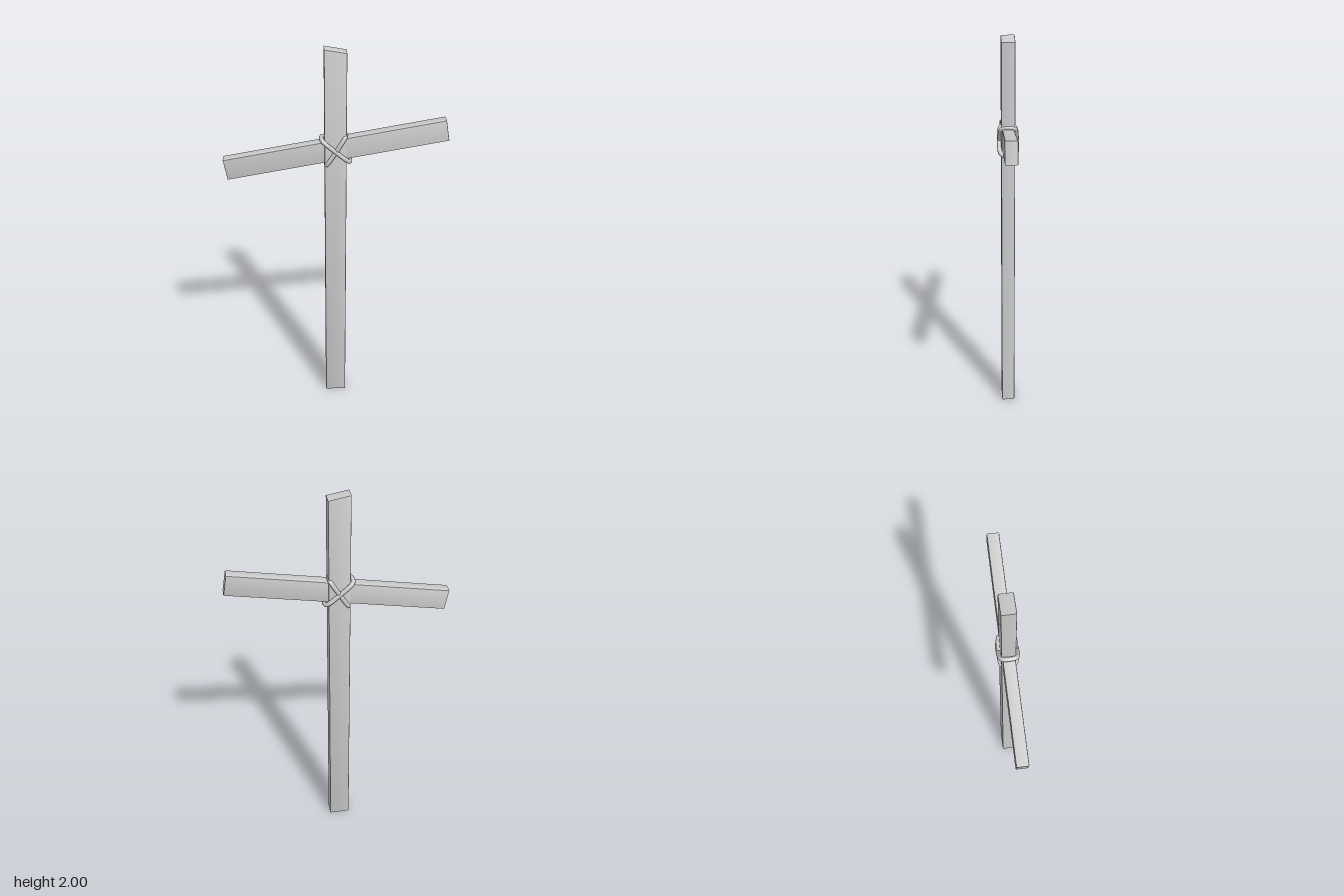
import * as THREE from 'three';
import { toCreasedNormals } from 'three/addons/utils/BufferGeometryUtils.js';

const BEVEL = 0.005;

// Plank: a front outline given depth, with softly bevelled edges
function plank(name, corners, depth, material) {
  const shape = new THREE.Shape(corners.map(([x, y]) => new THREE.Vector2(x, y)));
  const geometry = new THREE.ExtrudeGeometry(shape, {
    depth: depth - 2 * BEVEL,
    bevelThickness: BEVEL,
    bevelSize: BEVEL,
    bevelOffset: -BEVEL,
    bevelSegments: 2,
  });
  geometry.translate(0, 0, BEVEL - depth / 2);
  const mesh = new THREE.Mesh(toCreasedNormals(geometry, 0.7), material);
  mesh.name = name;
  return mesh;
}

// Rope: a closed rounded loop, long along the diagonal, wrapped around the joint
function ropeLoop(name, halfLength, halfDepth, angle, material) {
  const a = halfLength, d = halfDepth;
  const quarter = [[a, 0.018], [a - 0.007, 0.034], [a - 0.027, d - 0.001], [a * 0.35, d + 0.001]];
  const mirrored = [...quarter].reverse().map(([u, z]) => [-u, z]);
  const half = [...quarter, ...mirrored];
  const points = [...half, ...half.map(([u, z]) => [-u, -z])]
    .map(([u, z]) => new THREE.Vector3(u, 0, z));
  const path = new THREE.CatmullRomCurve3(points, true, 'centripetal');
  const mesh = new THREE.Mesh(new THREE.TubeGeometry(path, 80, 0.011, 10, true), material);
  mesh.name = name;
  mesh.position.set(0, 1.487, 0);
  mesh.rotation.z = angle;
  return mesh;
}

export function createModel() {
  const grey = new THREE.MeshStandardMaterial({ color: 0xcccccc });
  grey.name = 'plain grey';

  const model = new THREE.Group();
  model.name = 'woodenCross';

  // Upright with a slanted sawn top
  model.add(plank('post', [[-0.056, 0], [0.053, 0], [0.053, 1.981], [-0.056, 2]], 0.069, grey));

  // Tilted crossbar
  const bar = plank('crossbar',
    [[-0.557, -0.054], [0.557, -0.054], [0.557, 0.054], [-0.557, 0.054]], 0.06, grey);
  bar.position.set(0, 1.49, 0);
  bar.rotation.z = THREE.MathUtils.degToRad(10);
  model.add(bar);

  // Crossed rope lashing
  const lashing = new THREE.Group();
  lashing.name = 'lashing';
  lashing.add(
    ropeLoop('fallingRope', 0.091, 0.043, THREE.MathUtils.degToRad(-40), grey),
    ropeLoop('risingRope', 0.089, 0.04, THREE.MathUtils.degToRad(58), grey),
  );
  model.add(lashing);

  return model;
}
